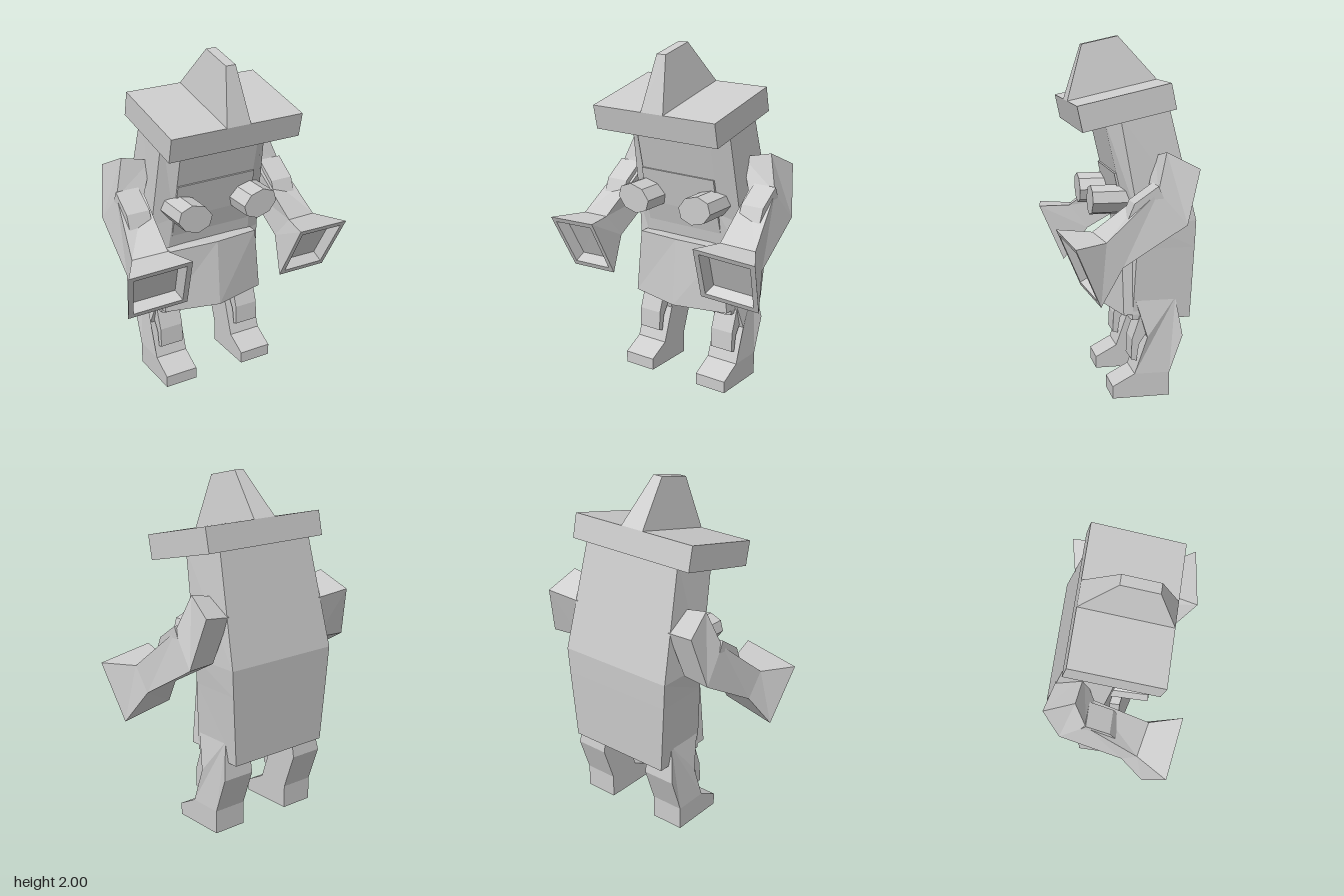
import * as THREE from 'three';

const material = new THREE.MeshStandardMaterial({ color: 0xcccccc, flatShading: true, side: THREE.DoubleSide });

function addMesh(parent, name, geometry) {
  const mesh = new THREE.Mesh(geometry, material);
  mesh.name = name;
  parent.add(mesh);
  return mesh;
}

// Skins a run of equal-length point loops and caps both ends, facing outwards.
function loft(sections) {
  const tris = [];
  const n = sections[0].length;
  for (let i = 0; i < sections.length - 1; i++) {
    const a = sections[i], b = sections[i + 1];
    for (let j = 0; j < n; j++) {
      const k = (j + 1) % n;
      tris.push([a[j], a[k], b[k]], [a[j], b[k], b[j]]);
    }
  }
  const first = sections[0], last = sections[sections.length - 1];
  for (let j = 1; j < n - 1; j++) {
    tris.push([first[0], first[j + 1], first[j]], [last[0], last[j], last[j + 1]]);
  }
  let volume = 0;
  for (const [p, q, r] of tris) {
    volume += p[0] * (q[1] * r[2] - q[2] * r[1]) + p[1] * (q[2] * r[0] - q[0] * r[2]) + p[2] * (q[0] * r[1] - q[1] * r[0]);
  }
  if (volume < 0) tris.forEach((t) => t.reverse());
  const geometry = new THREE.BufferGeometry();
  geometry.setAttribute('position', new THREE.Float32BufferAttribute(tris.flat(2), 3));
  geometry.computeVertexNormals();
  return geometry;
}

// Side profile of [z, y] points, extruded from x0 to x1.
function slab(profile, x0, x1) {
  const shape = new THREE.Shape(profile.map(([z, y]) => new THREE.Vector2(z, y)));
  return new THREE.ExtrudeGeometry(shape, { depth: x1 - x0, bevelEnabled: false })
    .rotateY(-Math.PI / 2).translate(x1, 0, 0);
}

// Completes a half loop of points by mirroring it across x = 0.
const mirrored = (half) => [...half, ...half.slice().reverse().map(([x, y, z]) => [-x, y, z])];

function sideSlab(profile, x0, x1, s) {
  return s > 0 ? slab(profile, x0, x1) : slab(profile, -x1, -x0);
}

export function createModel() {
  const model = new THREE.Group();
  model.name = 'figure';

  // Torso: a chamfered front, with the back bulging at mid height
  addMesh(model, 'torso', loft([
    mirrored([[0.25, 1.57, 0.11], [0.335, 1.59, 0.035], [0.32, 1.65, -0.235]]),
    mirrored([[0.25, 1.05, -0.01], [0.36, 1.0, -0.07], [0.36, 1.0, -0.39]]),
    mirrored([[0.27, 0.85, -0.04], [0.345, 0.85, -0.06], [0.35, 0.85, -0.385]]),
    mirrored([[0.3, 0.44, -0.03], [0.32, 0.44, -0.04], [0.32, 0.44, -0.37]]),
  ]));
  addMesh(model, 'chestPlate', slab(
    [[0.05, 1.26], [0.005, 1.05], [-0.05, 0.85], [-0.15, 0.85], [-0.15, 1.26]], -0.25, 0.25));

  // Apron: creased down the middle
  const apronLoop = (y, peak, front, x, drop) =>
    [[0, y, peak], [x, y - drop, front], [x, y - drop, -0.1], [-x, y - drop, -0.1], [-x, y - drop, front]];
  addMesh(model, 'apron', loft([
    apronLoop(0.47, 0.09, 0.01, 0.325, 0),
    apronLoop(0.87, 0.06, 0.015, 0.285, 0.015),
  ]));

  // Hat: tilted brim and a tapered crest
  addMesh(model, 'hatBrim', slab(
    [[0.28, 1.645], [0.25, 1.505], [-0.26, 1.62], [-0.23, 1.76]], -0.41, 0.41));
  addMesh(model, 'hatCrest', loft([
    mirrored([[0.075, 1.645, 0.28], [0.075, 1.76, -0.23]]),
    mirrored([[0.03, 1.955, 0.19], [0.03, 2.0, -0.015]]),
  ]));

  for (const s of [1, -1]) {
    const side = s > 0 ? 'left' : 'right';

    // Eight-sided chest knobs
    const knob = addMesh(model, side + 'Knob',
      new THREE.CylinderGeometry(1, 1, 0.22, 8).rotateX(Math.PI / 2)
        .rotateZ(Math.PI / 8).scale(0.11, 0.083, 1).rotateZ(s * 0.28));
    knob.position.set(s * 0.212, 1.11, 0.07);

    // Arm: loops from shoulder to flared, hollow cuff (upper inner, upper outer, lower outer, lower inner)
    const cuff = [[0.35, 0.98, 0.39], [0.71, 0.945, 0.34], [0.655, 0.62, 0.2], [0.31, 0.655, 0.25]];
    const centre = [0.506, 0.8, 0.295];
    const inset = (scale, dy, dz) => cuff.map((p) => p.map((v, i) =>
      centre[i] + (v - centre[i]) * scale + [0, dy, dz][i]));
    const arm = [
      [[0.3, 1.36, -0.17], [0.475, 1.4, -0.19], [0.515, 1.31, -0.365], [0.33, 1.28, -0.325]],
      [[0.38, 1.19, -0.11], [0.54, 1.2, -0.13], [0.565, 1.02, -0.285], [0.39, 1.02, -0.26]],
      [[0.4, 0.97, 0.2], [0.6, 0.95, 0.16], [0.59, 0.81, 0.07], [0.38, 0.83, 0.09]],
      cuff,
      inset(0.83, 0, 0),
      inset(0.74, 0.025, -0.06),
    ];
    addMesh(model, side + 'Arm', loft(arm.map((loop) => loop.map(([x, y, z]) => [s * x, y, z]))));
    addMesh(model, side + 'ArmPad', sideSlab(
      [[-0.13, 1.23], [0, 1.14], [0.035, 1.055], [-0.02, 1.03], [-0.17, 1.14]], 0.405, 0.545, s));

    // Leg with foot; the thigh narrows on its outer side
    const leg = sideSlab([[0.08, 0], [0.08, 0.07], [-0.045, 0.137], [-0.118, 0.345], [-0.055, 0.56],
      [-0.285, 0.56], [-0.32, 0.345], [-0.245, 0.135], [-0.245, 0]], 0.16, 0.36, s);
    const pos = leg.attributes.position;
    for (let i = 0; i < pos.count; i++) {
      if (pos.getY(i) > 0.5 && Math.abs(pos.getX(i)) > 0.3) pos.setX(i, s * 0.325);
    }
    leg.computeVertexNormals();
    addMesh(model, side + 'Leg', leg);
    addMesh(model, side + 'KneePad', sideSlab(
      [[-0.08, 0.46], [-0.035, 0.33], [-0.03, 0.215], [-0.06, 0.205], [-0.075, 0.3], [-0.12, 0.37], [-0.12, 0.46]],
      0.19, 0.335, s));
  }
  return model;
}
